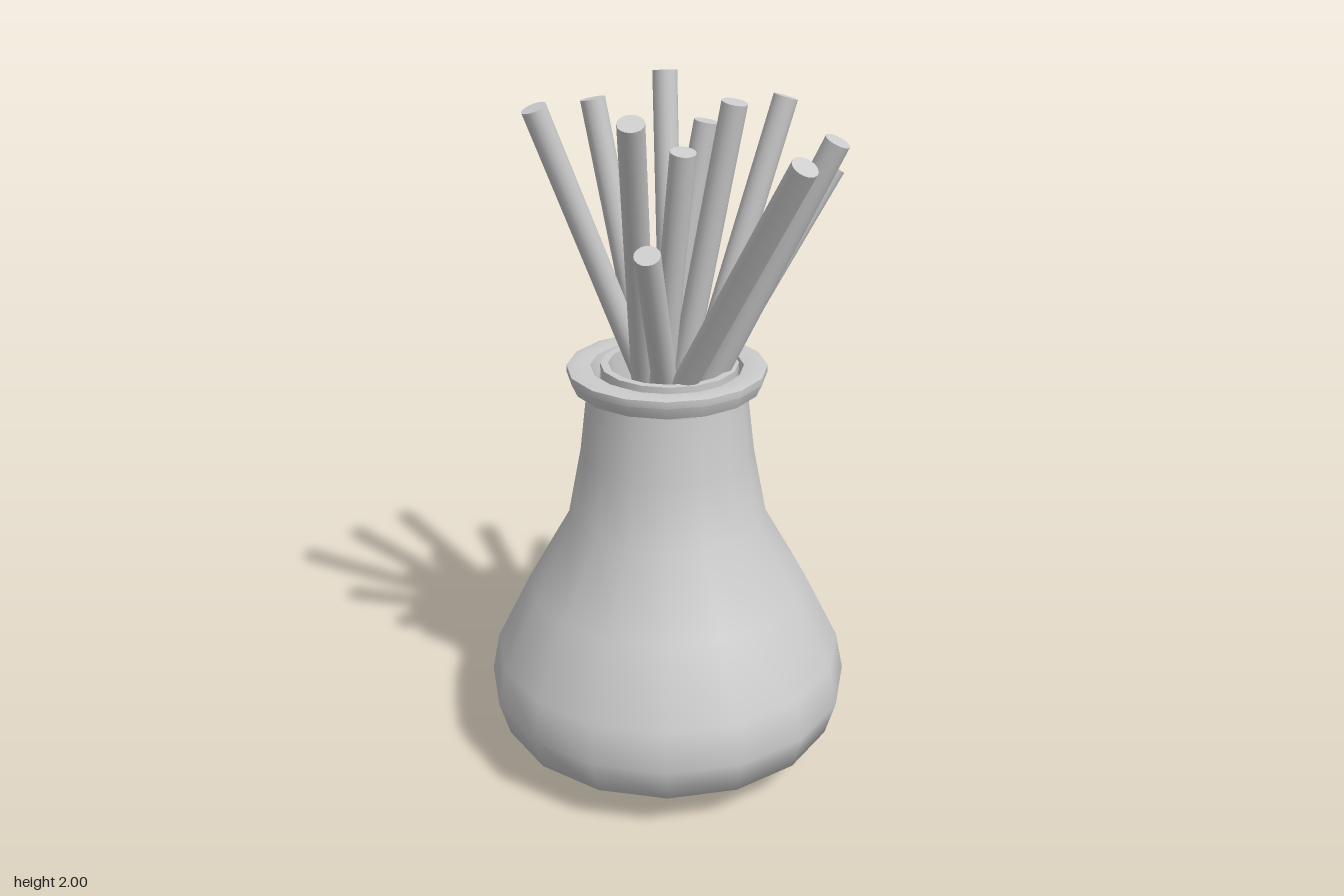
import * as THREE from 'three';
import { toCreasedNormals } from 'three/addons/utils/BufferGeometryUtils.js';

const SIDES = 16;
const CENTRE_Z = -0.035;

export function createModel() {
  const model = new THREE.Group();
  model.name = 'vaseWithSticks';
  const material = new THREE.MeshStandardMaterial({ color: 0xcccccc });
  const thin = new THREE.MeshStandardMaterial({ color: 0xcccccc, side: THREE.DoubleSide });

  const lathe = (name, profile, crease) => {
    const points = profile.map(([r, y]) => new THREE.Vector2(r, y));
    let geometry = new THREE.LatheGeometry(points, SIDES);
    if (crease) geometry = toCreasedNormals(geometry, crease);
    const mesh = new THREE.Mesh(geometry, thin);
    mesh.name = name;
    mesh.position.z = CENTRE_Z;
    model.add(mesh);
    return mesh;
  };

  // Round-bellied body, smooth from the base to the neck
  lathe('body', [
    [0, 0.005], [0.15, 0.012], [0.31, 0.03], [0.365, 0.045], [0.505, 0.13],
    [0.535, 0.235], [0.512, 0.35], [0.41, 0.555], [0.287, 0.77],
    [0.248, 0.97], [0.23, 1.12], [0.225, 1.18],
  ]);

  // Flared lip around the mouth
  lathe('rim', [
    [0.222, 1.17], [0.265, 1.17], [0.281, 1.205], [0.281, 1.225],
    [0.255, 1.23], [0.215, 1.225], [0.205, 1.17],
  ], 0.5);

  // Inside of the vessel
  lathe('innerWall', [
    [0.205, 1.17], [0.21, 1.0], [0.25, 0.78], [0.38, 0.53], [0.46, 0.3], [0.43, 0.12], [0, 0.06],
  ]);

  // Slightly off-centre collar standing just above the rim
  const collar = lathe('collar', [
    [0.19, 1.1], [0.192, 1.245], [0.17, 1.245], [0.165, 1.1],
  ], 0.5);
  collar.position.set(-0.02, 0, -0.005);

  // Sticks: tip x, y, z, then x, z where each passes the mouth
  const MOUTH = 1.24, FOOT = 0.75;
  const sticks = [
    [-0.30, 1.95, -0.21, -0.04, -0.12],
    [-0.063, 1.94, -0.25, 0.0, -0.13],
    [0.158, 1.995, -0.20, 0.08, -0.10],
    [0.115, 1.89, 0.0, 0.03, -0.08],
    [0.322, 1.94, 0.095, 0.14, -0.01],
    [0.42, 1.75, 0.19, 0.17, 0.03],
    [0.155, 1.89, 0.41, 0.04, 0.12],
    [0.038, 1.97, 0.17, 0.0, 0.03],
    [-0.125, 1.89, 0.54, -0.085, 0.12],
    [-0.105, 1.86, 0.13, -0.05, 0.0],
    [-0.34, 1.97, 0.19, -0.07, -0.06],
    [-0.305, 1.65, 0.205, -0.11, 0.065],
  ];
  const up = new THREE.Vector3(0, 1, 0);
  sticks.forEach(([x, y, z, mx, mz], i) => {
    const tip = new THREE.Vector3(x, y, z);
    const mouth = new THREE.Vector3(mx, MOUTH, mz);
    const foot = tip.clone().lerp(mouth, (y - FOOT) / (y - MOUTH));
    const axis = tip.clone().sub(foot);
    const geometry = new THREE.CylinderGeometry(0.034, 0.034, axis.length(), SIDES);
    const stick = new THREE.Mesh(geometry, material);
    stick.name = `stick${i + 1}`;
    stick.position.copy(tip).add(foot).multiplyScalar(0.5);
    stick.quaternion.setFromUnitVectors(up, axis.normalize());
    model.add(stick);
  });

  return model;
}
